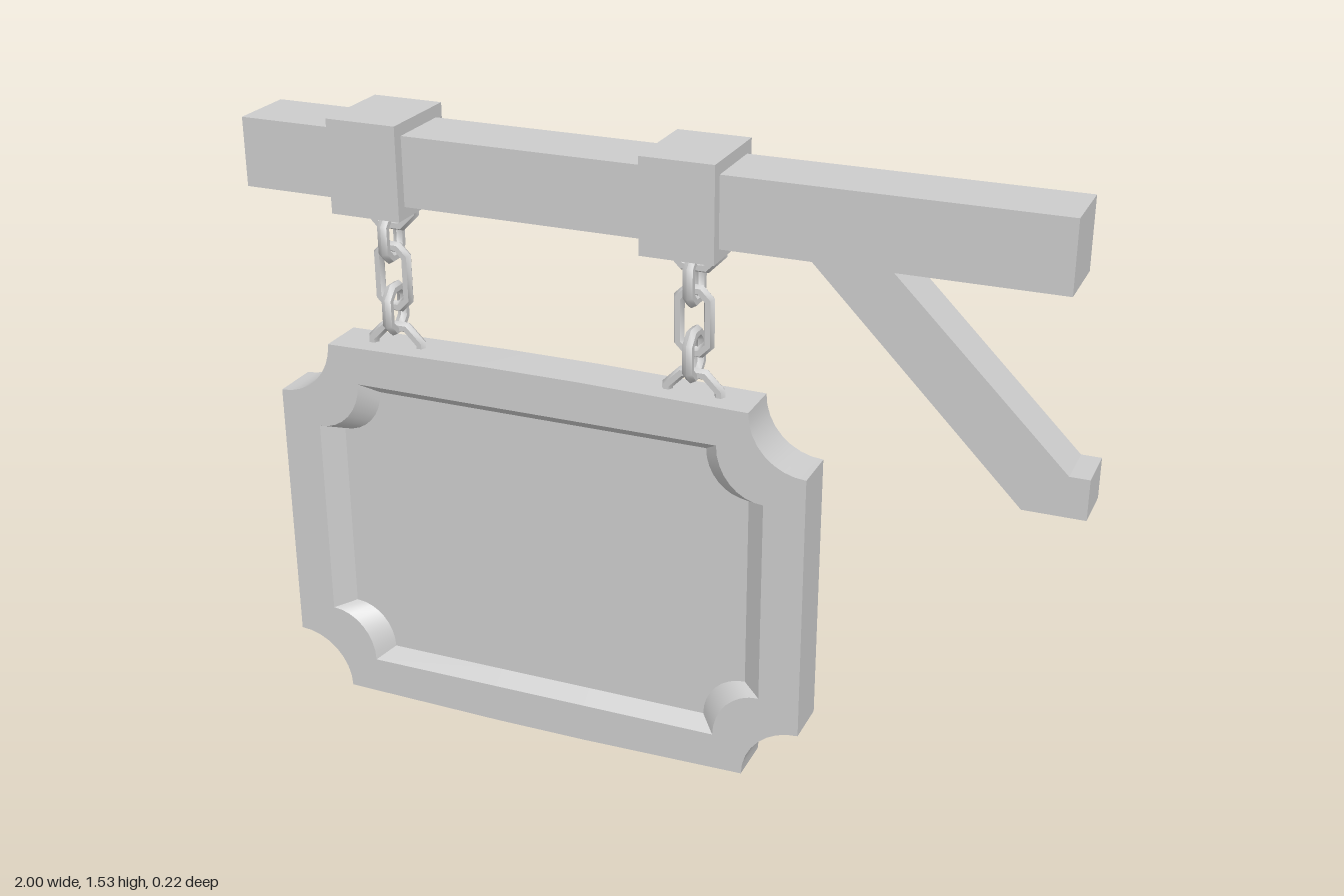
import * as THREE from 'three';
import { toCreasedNormals } from 'three/addons/utils/BufferGeometryUtils.js';

const grey = new THREE.MeshStandardMaterial({ color: 0xcccccc });

function add(parent, name, geometry, x = 0, y = 0, z = 0) {
  const mesh = new THREE.Mesh(geometry, grey);
  mesh.name = name;
  mesh.position.set(x, y, z);
  parent.add(mesh);
  return mesh;
}

// Rectangle with scooped corners, counter-clockwise; bow lifts the top and bottom edges
function contour(w, h, rx, ry, bow = 0) {
  const pts = [], steps = 8;
  [[1, 1], [-1, 1], [-1, -1], [1, -1]].forEach(([sx, sy], n) => {
    for (let i = 0; i <= steps; i++) {
      const t = (n % 2 ? i : steps - i) / steps * Math.PI / 2;
      pts.push(new THREE.Vector2(sx * (w - rx * Math.cos(t)), sy * (h - ry * Math.sin(t))));
    }
    if (n % 2 === 0) {
      for (const s of [1, -1]) pts.push(new THREE.Vector2(s * sx * 0.12, sy * (h + bow)));
    }
  });
  return pts;
}

// Wall between two matching contours at different depths
function wall(a, za, b, zb) {
  const pos = [];
  a.forEach((p, i) => {
    const j = (i + 1) % a.length;
    const A = [p.x, p.y, za], B = [a[j].x, a[j].y, za];
    const C = [b[j].x, b[j].y, zb], D = [b[i].x, b[i].y, zb];
    pos.push(...A, ...B, ...C, ...A, ...C, ...D);
  });
  const g = new THREE.BufferGeometry();
  g.setAttribute('position', new THREE.Float32BufferAttribute(pos, 3));
  return toCreasedNormals(g, 0.5);
}

function makeBoard() {
  const board = new THREE.Group();
  board.name = 'signBoard';
  board.position.set(-0.295, 0.481, 0);
  const outer = contour(0.675, 0.474, 0.14, 0.14, 0.007);
  const rim = contour(0.575, 0.382, 0.115, 0.128);
  const inner = contour(0.527, 0.353, 0.105, 0.113);
  add(board, 'boardEdge', wall(outer, -0.06, outer, 0.06));
  // Same framed, recessed face on front and back
  for (const side of ['front', 'back']) {
    const face = new THREE.Group();
    face.name = side + 'Face';
    if (side === 'back') face.rotation.y = Math.PI;
    const frame = new THREE.Shape(outer);
    frame.holes.push(new THREE.Path(rim));
    add(face, side + 'Frame', new THREE.ShapeGeometry(frame), 0, 0, 0.06);
    add(face, side + 'Bevel', wall(rim, 0.06, inner, 0.022));
    add(face, side + 'Panel', new THREE.ShapeGeometry(new THREE.Shape(inner)), 0, 0, 0.022);
    board.add(face);
  }
  return board;
}

// Octagonal chain link of given outer width and height
function link(width, height, tube) {
  const pts = [];
  const rx = width / 2 - tube, ry = height / 2 - tube;
  const cut = Math.min(rx, ry) * 0.586;
  for (const [sx, sy, flip] of [[1, 1, 0], [-1, 1, 1], [-1, -1, 0], [1, -1, 1]]) {
    const side = [sx * rx, sy * (ry - cut)], end = [sx * (rx - cut), sy * ry];
    pts.push(...(flip ? [end, side] : [side, end]));
  }
  // Eight corners, each carrying a six-sided ring of vertices
  const g = new THREE.TorusGeometry(1, 0.2, 6, 8);
  const p = g.attributes.position;
  for (let j = 0; j <= 6; j++) {
    for (let i = 0; i <= 8; i++) {
      const [x, y] = pts[i % 8];
      const a = j / 6 * Math.PI * 2, k = tube * Math.cos(a);
      const t = (i + 0.5) / 8 * Math.PI * 2;
      p.setXYZ(j * 9 + i, x + k * Math.cos(t), y + k * Math.sin(t), tube * Math.sin(a));
    }
  }
  return toCreasedNormals(g, 0.9);
}

function makeChain(name, x) {
  const chain = new THREE.Group();
  chain.name = name;
  chain.position.x = x;
  const ring = link(0.155, 0.15, 0.014);
  const small = link(0.1, 0.13, 0.014);
  add(chain, 'upperRing', ring, 0, 1.32);
  add(chain, 'upperLink', small, 0, 1.23).rotation.y = Math.PI / 2;
  add(chain, 'middleLink', link(0.1, 0.175, 0.014), 0, 1.13);
  add(chain, 'lowerLink', small, 0, 1.05).rotation.y = Math.PI / 2;
  add(chain, 'lowerRing', ring, 0, 0.943);
  return chain;
}

export function createModel() {
  const sign = new THREE.Group();
  sign.name = 'hangingSign';

  // Beam with two collars and their chains
  add(sign, 'beam', new THREE.BoxGeometry(1.932, 0.165, 0.166), -0.034, 1.417, 0);
  [['left', 0.087], ['right', -0.673]].forEach(([side, x]) => {
    add(sign, side + 'Collar', new THREE.BoxGeometry(0.174, 0.222, 0.222), x, 1.417, 0);
    sign.add(makeChain(side + 'Chain', x));
  });

  // Slanted brace with a foot
  const brace = new THREE.Shape([
    [0.365, 1.336], [0.86, 0.835], [1, 0.835], [1, 0.93], [0.955, 0.93], [0.545, 1.336],
  ].map(([x, y]) => new THREE.Vector2(x, y)));
  add(sign, 'brace', new THREE.ExtrudeGeometry(brace, { depth: 0.12, bevelEnabled: false }), 0, 0, -0.06);

  sign.add(makeBoard());
  return sign;
}
